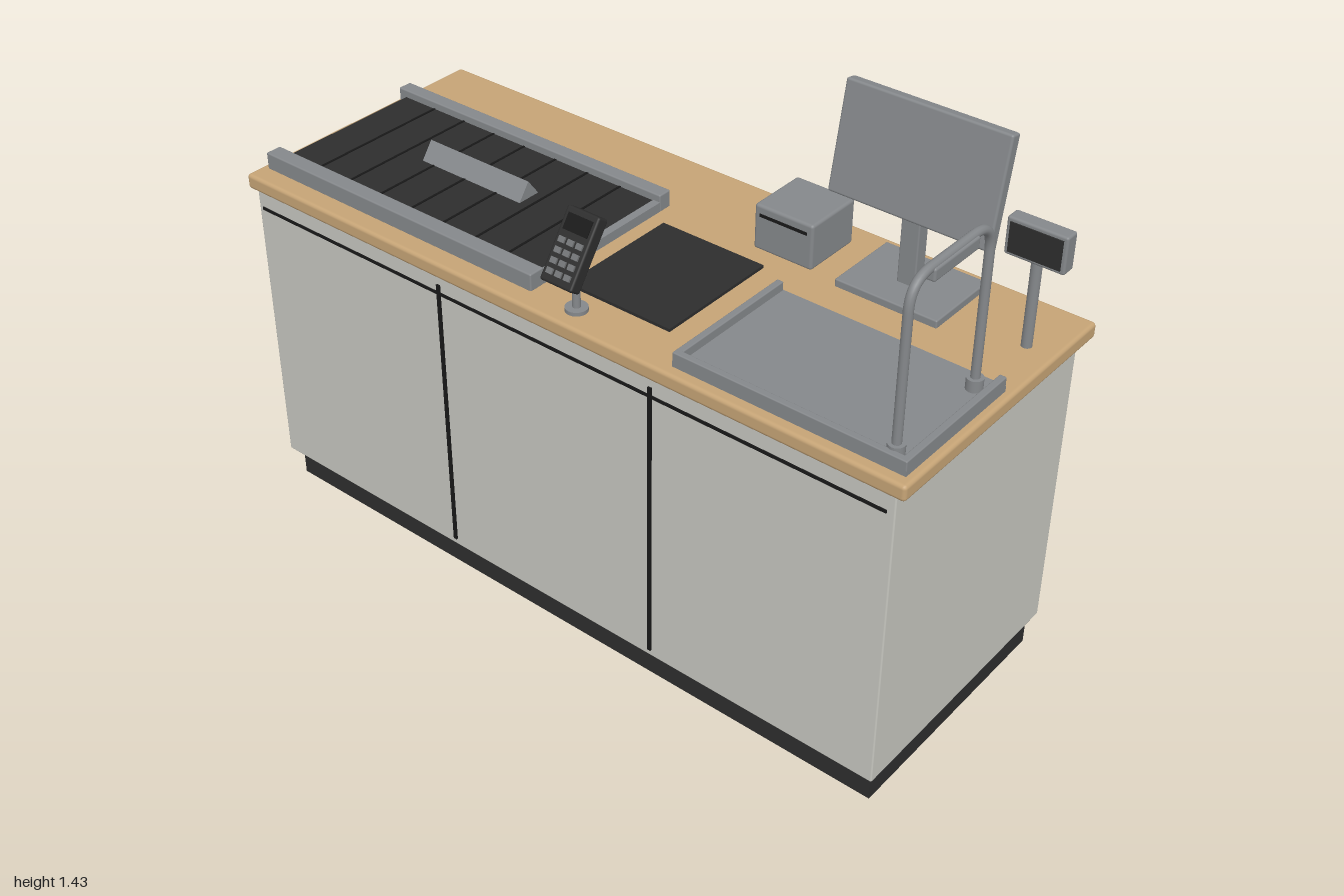
import * as THREE from 'three';
import { RoundedBoxGeometry } from 'three/addons/geometries/RoundedBoxGeometry.js';

const mat = (name, color) => Object.assign(new THREE.MeshStandardMaterial({ color }), { name });

export function createModel() {
  const cabinet = mat('cabinet panel', 0xc6c6bf);
  const wood = mat('wood top', 0xc6a476);
  const metal = mat('grey metal', 0x85888b);
  const black = mat('black plastic', 0x2d2d2d);
  const seam = mat('dark seam', 0x181818);
  const key = mat('key grey', 0x727476);

  const model = new THREE.Group();
  model.name = 'checkoutCounter';

  const group = (name, parent = model) => {
    const g = new THREE.Group();
    g.name = name;
    parent.add(g);
    return g;
  };
  const add = (parent, name, geometry, material, x = 0, y = 0, z = 0) => {
    const m = new THREE.Mesh(geometry, material);
    m.name = name;
    m.position.set(x, y, z);
    parent.add(m);
    return m;
  };
  // Box given by its limits on each axis, with an optional rounded edge
  const box = (parent, name, material, [x0, x1], [y0, y1], [z0, z1], r = 0) => {
    const s = [x1 - x0, y1 - y0, z1 - z0];
    const g = r ? new RoundedBoxGeometry(...s, 2, r) : new THREE.BoxGeometry(...s);
    return add(parent, name, g, material, (x0 + x1) / 2, (y0 + y1) / 2, (z0 + z1) / 2);
  };
  const post = (parent, name, material, r, x, [y0, y1], z) =>
    add(parent, name, new THREE.CylinderGeometry(r, r, y1 - y0, 20), material, x, (y0 + y1) / 2, z);

  // Cabinet
  box(model, 'kickBase', black, [-0.955, 0.955], [0, 0.09], [-0.33, 0.355]);
  box(model, 'cabinetBody', cabinet, [-0.975, 0.975], [0.09, 0.92], [-0.35, 0.385], 0.004);
  box(model, 'counterTop', wood, [-1, 1], [0.918, 0.96], [-0.385, 0.395], 0.01);

  // Panel seams, front and back
  const seams = group('panelSeams');
  box(seams, 'frontRailSeam', seam, [-0.96, 0.955], [0.866, 0.874], [0.382, 0.388]);
  for (const x of [-0.33, 0.325])
    box(seams, 'frontSeam', seam, [x - 0.005, x + 0.005], [0.11, 0.895], [0.382, 0.39]);
  for (const x of [0, -0.65])
    box(seams, 'backSeam', seam, [x - 0.005, x + 0.005], [0.11, 0.742], [-0.356, -0.348]);

  // Cash drawer on the back
  const drawer = group('cashDrawer');
  box(drawer, 'drawerFront', black, [0.3, 0.9], [0.765, 0.89], [-0.382, -0.345], 0.005);
  box(drawer, 'drawerHandle', black, [0.525, 0.675], [0.803, 0.817], [-0.4, -0.38], 0.004);

  // Conveyor
  const conveyor = group('conveyor');
  box(conveyor, 'belt', black, [-0.955, -0.09], [0.955, 0.984], [-0.13, 0.295]);
  for (let i = 1; i < 8; i++) {
    const x = -0.955 + i * 0.108;
    box(conveyor, 'beltLine', seam, [x - 0.003, x + 0.003], [0.982, 0.986], [-0.13, 0.295]);
  }
  box(conveyor, 'backRail', metal, [-0.98, -0.07], [0.957, 1.005], [-0.17, -0.13], 0.004);
  box(conveyor, 'frontRail', metal, [-0.98, -0.07], [0.957, 1.005], [0.295, 0.34], 0.004);
  box(conveyor, 'endPlate', metal, [-0.092, -0.07], [0.957, 0.986], [-0.13, 0.295]);

  // Triangular goods divider lying on the belt
  const tri = new THREE.Shape([[-0.034, 0], [0.034, 0], [0, 0.046]].map(p => new THREE.Vector2(...p)));
  const prism = new THREE.ExtrudeGeometry(tri, { depth: 0.335, bevelEnabled: false });
  add(conveyor, 'goodsDivider', prism, metal, -0.67, 0.985, 0.057).rotation.y = Math.PI / 2;

  // Scanner plate
  box(model, 'scannerPlate', black, [-0.022, 0.282], [0.957, 0.968], [-0.085, 0.265]);

  // Payment terminal on a short stand
  const terminal = group('paymentTerminal');
  post(terminal, 'terminalFoot', metal, 0.028, 0.062, [0.958, 0.97], 0.33);
  post(terminal, 'terminalPole', metal, 0.01, 0.062, [0.96, 1.1], 0.33);
  const pad = group('terminalHead', terminal);
  pad.position.set(0.062, 1.124, 0.335);
  pad.rotation.x = -0.61;
  box(pad, 'terminalCase', black, [-0.048, 0.048], [-0.09, 0.09], [-0.018, 0.018], 0.006);
  box(pad, 'terminalScreen', seam, [-0.036, 0.036], [0.035, 0.075], [0.015, 0.02]);
  for (let r = 0; r < 4; r++)
    for (let c = -1; c <= 1; c++) {
      const x = c * 0.026, y = 0.012 - r * 0.025;
      box(pad, 'terminalKey', key, [x - 0.009, x + 0.009], [y - 0.007, y + 0.007], [0.015, 0.023]);
    }

  // Receipt printer
  const printer = group('receiptPrinter');
  box(printer, 'printerCase', metal, [0.205, 0.375], [0.957, 1.08], [-0.318, -0.147], 0.008);
  box(printer, 'printerSlot', seam, [0.222, 0.358], [1.05, 1.058], [-0.15, -0.145]);

  // Operator monitor, its screen turned to the back
  const monitor = group('monitor');
  box(monitor, 'monitorFoot', metal, [0.455, 0.735], [0.957, 0.98], [-0.343, -0.128], 0.004);
  box(monitor, 'monitorPole', metal, [0.57, 0.62], [0.97, 1.2], [-0.25, -0.212], 0.004);
  const display = group('monitorHead', monitor);
  display.position.set(0.595, 1.292, -0.232);
  display.rotation.x = -0.19;
  box(display, 'monitorCase', metal, [-0.217, 0.217], [-0.138, 0.138], [-0.016, 0.016], 0.006);
  box(display, 'monitorScreen', black, [-0.2, 0.2], [-0.122, 0.122], [-0.019, -0.014]);

  // Customer display
  const customer = group('customerDisplay');
  post(customer, 'customerPole', metal, 0.013, 0.925, [0.957, 1.2], -0.2);
  box(customer, 'customerCase', metal, [0.85, 1], [1.18, 1.275], [-0.222, -0.182], 0.006);
  box(customer, 'customerScreen', black, [0.86, 0.99], [1.19, 1.265], [-0.184, -0.179]);

  // Bagging tray, raised edges on three sides
  const tray = group('baggingTray');
  box(tray, 'trayFloor', metal, [0.37, 0.98], [0.957, 0.975], [-0.02, 0.365]);
  box(tray, 'trayLeftEdge', metal, [0.962, 0.98], [0.957, 0.998], [-0.02, 0.365], 0.003);
  box(tray, 'trayRightEdge', metal, [0.37, 0.388], [0.957, 0.998], [-0.02, 0.365], 0.003);
  box(tray, 'trayFrontEdge', metal, [0.37, 0.98], [0.957, 0.998], [0.347, 0.365], 0.003);

  // Bag hoop with grip
  const X = 0.932, top = 1.393, zf = 0.332, zb = 0.032, R = 0.07;
  const v = (y, z) => new THREE.Vector3(X, y, z);
  const path = new THREE.CurvePath();
  path.add(new THREE.LineCurve3(v(0.97, zf), v(top - R, zf)));
  path.add(new THREE.QuadraticBezierCurve3(v(top - R, zf), v(top, zf), v(top, zf - R)));
  path.add(new THREE.LineCurve3(v(top, zf - R), v(top, zb + R)));
  path.add(new THREE.QuadraticBezierCurve3(v(top, zb + R), v(top, zb), v(top - R, zb)));
  path.add(new THREE.LineCurve3(v(top - R, zb), v(0.97, zb)));
  const hoop = group('bagHoop', tray);
  add(hoop, 'hoopTube', new THREE.TubeGeometry(path, 120, 0.011, 12), metal);
  box(hoop, 'hoopGrip', metal, [X - 0.015, X + 0.015], [1.363, 1.395], [0.1, 0.267], 0.006);
  for (const z of [zf, zb]) post(hoop, 'hoopCollar', metal, 0.02, X, [0.97, 1.005], z);

  return model;
}
